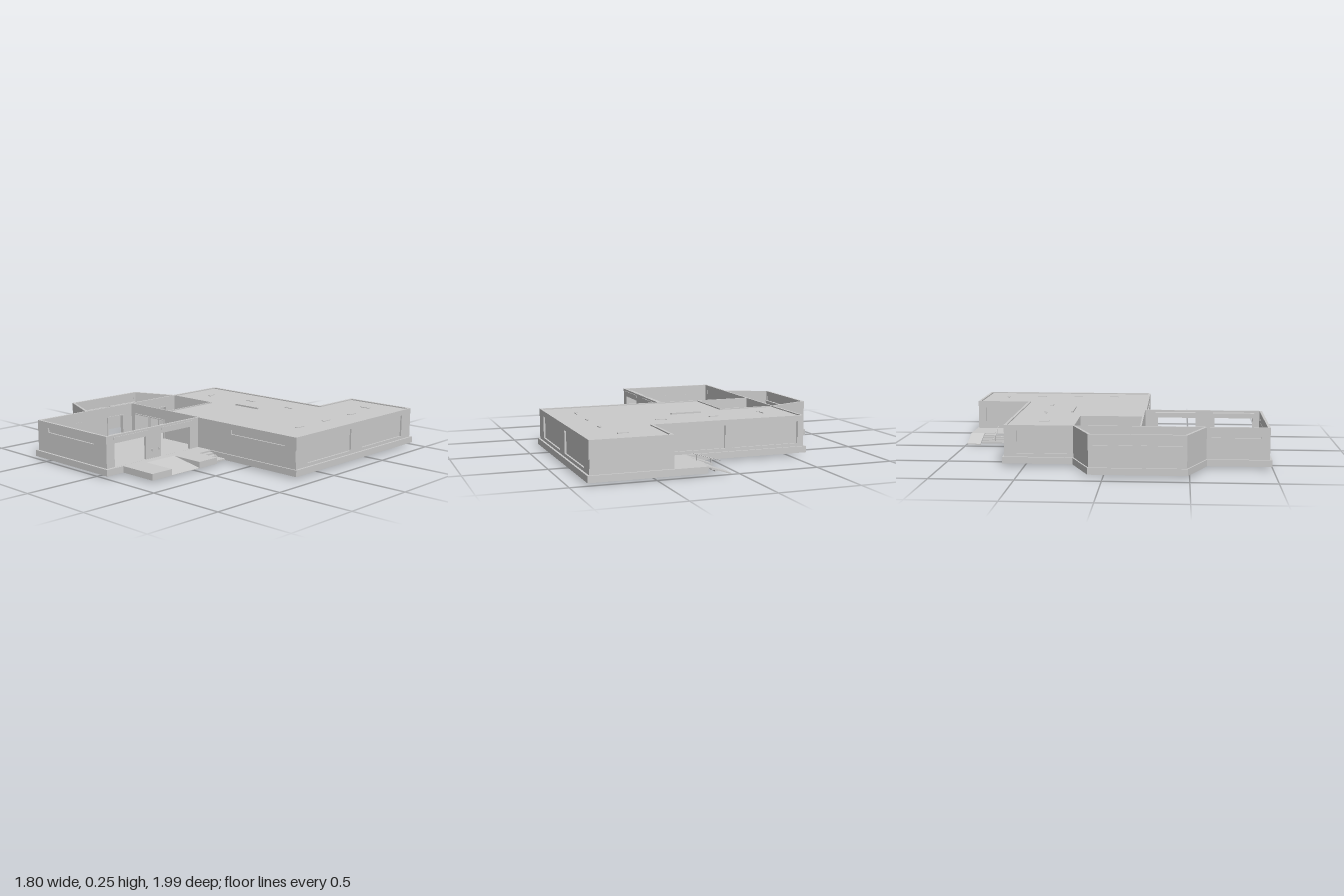
import * as THREE from 'three';

const mat = new THREE.MeshStandardMaterial({ color: 0xcccccc, flatShading: true, side: THREE.DoubleSide });
const BASE = 0.055, TOP = 0.25;

export function createModel() {
  const root = new THREE.Group();
  root.name = 'house';

  function add(geo, name, parent = root) {
    const m = new THREE.Mesh(geo, mat);
    m.name = name;
    parent.add(m);
    return m;
  }

  // Box given by its min and max on each axis
  function box(name, x0, x1, y0, y1, z0, z1, parent = root) {
    const m = add(new THREE.BoxGeometry(x1 - x0, y1 - y0, z1 - z0), name, parent);
    m.position.set((x0 + x1) / 2, (y0 + y1) / 2, (z0 + z1) / 2);
  }

  // Horizontal slab from a plan outline of [x, z] points
  function slab(name, outline, y0, y1, holes = []) {
    const pts = (a) => a.map(([x, z]) => new THREE.Vector2(x, -z));
    const s = new THREE.Shape(pts(outline));
    holes.forEach((h) => s.holes.push(new THREE.Path(pts(h))));
    const g = new THREE.ExtrudeGeometry(s, { depth: y1 - y0, bevelEnabled: false });
    g.rotateX(-Math.PI / 2);
    add(g, name).position.y = y0;
  }

  // Upright wall between two plan points, the inside on its local +z.
  // Openings are [start, end, bottom, top, kind], kind being 'pane', 'frame' or none
  function wall(name, [ax, az], [bx, bz], openings = [], t = 0.016) {
    const len = Math.hypot(bx - ax, bz - az);
    const group = new THREE.Group();
    group.name = name;
    const s = new THREE.Shape();
    s.moveTo(0, BASE);
    openings.forEach(([a, b, y0, y1, kind]) => {
      if (y0 <= BASE) {
        s.lineTo(a, BASE); s.lineTo(a, y1); s.lineTo(b, y1); s.lineTo(b, BASE);
      } else {
        s.holes.push(new THREE.Path([[a, y0], [a, y1], [b, y1], [b, y0]].map((p) => new THREE.Vector2(...p))));
      }
      if (kind === 'pane') box('windowPane', a, b, y0, y1, t / 2 - 0.005, t / 2 - 0.001, group);
      if (kind === 'frame') {
        box('doorHead', a, b, y1 - 0.006, y1, -0.013, 0.013, group);
        box('doorJamb', a, a + 0.006, BASE, y1, -0.013, 0.013, group);
        box('doorJamb', b - 0.006, b, BASE, y1, -0.013, 0.013, group);
      }
    });
    s.lineTo(len, BASE); s.lineTo(len, TOP); s.lineTo(0, TOP);
    const g = new THREE.ExtrudeGeometry(s, { depth: t, bevelEnabled: false });
    g.translate(0, 0, -t / 2);
    add(g, 'wallPanel', group);
    group.position.set(ax, 0, az);
    group.rotation.y = Math.atan2(-(bz - az), bx - ax);
    root.add(group);
  }

  // Prism with a profile in x, y running along z
  function prism(name, profile, z0, z1) {
    const s = new THREE.Shape(profile.map((p) => new THREE.Vector2(...p)));
    const g = new THREE.ExtrudeGeometry(s, { depth: z1 - z0, bevelEnabled: false });
    add(g, name).position.z = z0;
  }

  // Hollow platform: a thin deck with a skirt
  function platform(x0, x1, z0, z1, y0) {
    const e = 0.004;
    box('platformDeck', x0, x1, 0.051, 0.055, z0, z1);
    box('platformSkirt', x0, x1, y0, 0.051, z0, z0 + e);
    box('platformSkirt', x0, x1, y0, 0.051, z1 - e, z1);
    box('platformSkirt', x1 - e, x1, y0, 0.051, z0 + e, z1 - e);
  }

  // Plinth ring, hollow below the floor and open under the bay
  slab('plinth', [
    [-0.617, -0.638], [0.385, -0.638], [0.385, -0.996], [0.897, -0.996], [0.897, 0.23], [0.09, 0.23],
    [0.09, 0.996], [-0.617, 0.996], [-0.617, 0.607], [-0.9, 0.49], [-0.9, -0.09], [-0.617, -0.207],
  ], 0.015, BASE, [[
    [-0.59, -0.612], [0.41, -0.612], [0.41, -0.97], [0.87, -0.97], [0.87, 0.204], [0.064, 0.204],
    [0.064, 0.97], [-0.59, 0.97], [-0.59, 0.588], [-0.876, 0.473], [-0.876, -0.073], [-0.59, -0.188],
  ]]);
  slab('floor', [
    [-0.6, -0.62], [0.4, -0.62], [0.4, -0.98], [0.88, -0.98], [0.88, 0.215],
    [0.075, 0.215], [0.075, 0.98], [-0.6, 0.98],
  ], 0.047, 0.0555);

  // Roof over the main part, leaving the small side room open
  slab('roof', [
    [-0.59, -0.61], [0.405, -0.61], [0.405, -0.965], [0.872, -0.965], [0.872, 0.205],
    [-0.215, 0.205], [-0.215, -0.2], [-0.59, -0.2],
  ], 0.234, 0.243);

  // Outer walls, clockwise in plan so that the inside is on local +z
  const W0 = 0.075, W1 = 0.215, S0 = 0.185;
  wall('backWall', [-0.6, -0.618], [0.405, -0.618], [[0.04, 0.48, W0, W1, 'pane'], [0.53, 0.96, W0, W1, 'pane']]);
  wall('backEntranceWall', [0.4, -0.618], [0.4, -0.978], [[0.05, 0.31, BASE, 0.215, 'pane']]);
  wall('backWingWall', [0.392, -0.975], [0.882, -0.975]);
  wall('leftWall', [0.876, -0.98], [0.876, 0.218], [[0.1, 0.54, W0, W1, 'pane'], [0.66, 1.09, W0, W1, 'pane']]);
  wall('mainFrontWall', [0.882, 0.212], [0.055, 0.212], [[0.082, 0.522, S0, W1, 'pane']]);
  wall('entranceWall', [0.063, 0.21], [0.063, 0.98], [[0.085, 0.335, BASE, 0.2], [0.46, 0.71, BASE, 0.2]]);
  wall('frontWall', [0.071, 0.974], [-0.602, 0.974], [[0.121, 0.571, S0, W1, 'pane']]);
  wall('frontWingSideWall', [-0.594, 0.98], [-0.594, 0.6], [[0.05, 0.35, S0, W1, 'pane']]);
  wall('rightWall', [-0.594, -0.2], [-0.594, -0.625], [[0.04, 0.35, W0, W1, 'pane']]);

  // Bay with two high slot windows
  wall('bayBackWall', [-0.88, -0.08], [-0.594, -0.197]);
  wall('bayFrontWall', [-0.594, 0.597], [-0.88, 0.48]);
  wall('baySideWall', [-0.88, 0.485], [-0.88, -0.085], [[0.025, 0.265, S0, W1, 'pane'], [0.315, 0.545, S0, W1, 'pane']]);
  [[-0.06, 0.17], [0.22, 0.46]].forEach(([a, b]) => box('baySill', -0.876, -0.857, 0.176, 0.184, a, b));

  // Inner walls with framed doorways
  wall('bayDoorWall', [-0.592, -0.2], [-0.592, 0.6], [[0.09, 0.165, BASE, S0, 'frame'], [0.49, 0.63, BASE, S0, 'frame']], 0.012);
  wall('sideRoomFrontWall', [-0.6, 0.206], [0.06, 0.206], [[0.05, 0.195, BASE, S0, 'frame'], [0.21, 0.345, BASE, S0, 'frame']], 0.01);
  wall('sideRoomInnerWall', [-0.219, -0.2], [-0.219, 0.205], [[0.07, 0.14, BASE, S0, 'frame'], [0.2, 0.335, BASE, S0, 'frame']], 0.008);
  wall('sideRoomBackWall', [-0.597, -0.2], [-0.217, -0.2], [], 0.008);

  // Lintels and handles of the entrance openings
  [[0.28, 0.545, 0.56], [0.66, 0.93, 0.62]].forEach(([a, b, z]) => {
    box('entranceLintel', 0.015, 0.076, 0.222, 0.238, a, b);
    box('entranceHandle', 0.035, 0.08, 0.1, 0.115, z, z + 0.006);
  });

  // Front entrance: two platforms, a ramp between them, and steps
  platform(0.088, 0.347, 0.715, 0.87, 0.015);
  platform(0.088, 0.347, 0.33, 0.485, 0.015);
  prism('entranceRamp', [[0.088, 0.051], [0.124, 0.051], [0.347, 0.015], [0.347, 0.018], [0.125, 0.055], [0.088, 0.055]], 0.485, 0.715);
  box('stepLanding', 0.088, 0.19, 0.015, 0.055, 0.225, 0.33);
  [0.22, 0.25, 0.32].forEach((x, i) => box('entranceStep', 0.19, x, 0.015, 0.045 - i * 0.01, 0.225, 0.33));

  // Back entrance: landing, sloping cheeks, steps and handrail
  platform(0.19, 0.387, -0.996, -0.637, 0.015);
  const cheek = [[0.05, 0], [0.19, 0.048], [0.19, 0.055], [0.05, 0.007]];
  prism('stairCheek', cheek, -0.996, -0.905);
  prism('stairCheek', cheek, -0.72, -0.637);
  for (let i = 0; i < 5; i++) {
    const x = 0.09 + i * 0.02;
    box('backStep', x, x + 0.024, 0.003 + i * 0.009, 0.012 + i * 0.009, -0.905, -0.72);
  }
  const rail = new THREE.LineCurve3(new THREE.Vector3(0.04, 0.045, -0.812), new THREE.Vector3(0.22, 0.1, -0.812));
  add(new THREE.TubeGeometry(rail, 1, 0.002, 6), 'handrail');
  [0.1, 0.19].forEach((x) => box('handrailPost', x - 0.002, x + 0.002, 0.02, 0.045 + (x - 0.04) * 0.3, -0.814, -0.81));

  // Raised strip and small angle pieces showing on the roof
  box('roofStrip', -0.05, 0.15, 0.24, 0.253, -0.275, -0.262);
  [[0.6, -0.805, 0.065], [0.245, -0.435, -0.002], [-0.105, -0.435, 0.06]].forEach(([x, z, dx]) => {
    box('roofAngle', x, x + 0.065, 0.24, 0.247, z - 0.003, z + 0.003);
    box('roofAngle', x + dx, x + dx + 0.005, 0.24, 0.247, z - 0.02, z);
  });
  [[0.707, -0.605, -0.02], [0.707, -0.335, -0.02], [0.707, -0.07, -0.02], [-0.415, -0.435, 0]].forEach(([x, z, dx]) => {
    box('roofAngle', x - 0.003, x + 0.003, 0.24, 0.247, z, z + 0.065);
    box('roofAngle', x + dx, x + dx + 0.02, 0.24, 0.247, z + 0.06, z + 0.065);
  });

  return root;
}
